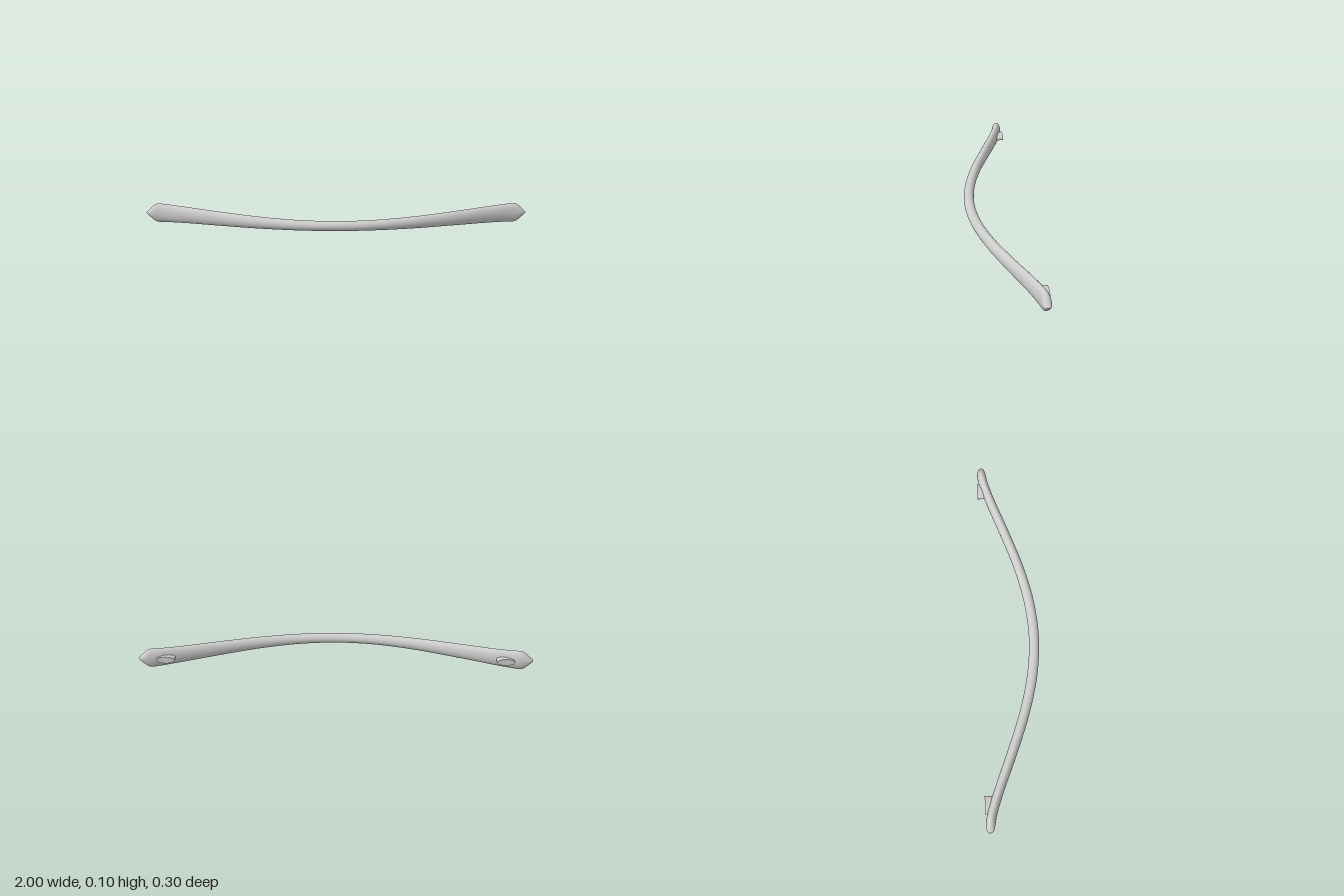
import * as THREE from 'three';

// Half of the bow: x, z of the centre line, half height, half thickness
const HALF = [
  [0, 0.124, 0.025, 0.026],
  [0.2, 0.107, 0.0265, 0.026],
  [0.4, 0.06, 0.031, 0.0255],
  [0.6, -0.008, 0.037, 0.025],
  [0.8, -0.082, 0.044, 0.024],
  [0.9, -0.114, 0.0485, 0.024],
  [0.935, -0.122, 0.05, 0.024],
  [0.952, -0.1245, 0.046, 0.0235],
  [0.975, -0.1265, 0.027, 0.021],
  [0.992, -0.127, 0.011, 0.015],
  [1, -0.127, 0.003, 0.008],
];
const MID_Y = 0.05;
const SIDES = 40;
const STEPS = 200;

// Lofts ellipses along the bowed centre line and closes both tips
function gripGeometry() {
  const mirrored = HALF.slice(1).reverse().map(([x, z, h, w]) => [-x, z, h, w]);
  const stations = [...mirrored, ...HALF];
  const path = new THREE.CatmullRomCurve3(stations.map(([x, z]) => new THREE.Vector3(x, MID_Y, z)));
  const size = new THREE.CatmullRomCurve3(stations.map(([x, , h, w]) => new THREE.Vector3(x, h, w)));
  const positions = [];
  const indices = [];

  for (let i = 0; i <= STEPS; i++) {
    const t = i / STEPS;
    const p = path.getPoint(t);
    const dir = path.getTangent(t);
    const s = size.getPoint(t);
    for (let j = 0; j < SIDES; j++) {
      const a = (j / SIDES) * Math.PI * 2;
      const across = Math.cos(a) * s.z;
      positions.push(p.x - dir.z * across, p.y + Math.sin(a) * s.y, p.z + dir.x * across);
    }
  }
  for (let i = 0; i < STEPS; i++) {
    for (let j = 0; j < SIDES; j++) {
      const k = (j + 1) % SIDES;
      const a = i * SIDES + j, b = i * SIDES + k;
      const c = a + SIDES, d = b + SIDES;
      indices.push(a, c, b, b, c, d);
    }
  }
  // tip caps
  const last = STEPS * SIDES;
  for (let j = 1; j < SIDES - 1; j++) {
    indices.push(0, j, j + 1);
    indices.push(last, last + j + 1, last + j);
  }

  const geometry = new THREE.BufferGeometry();
  geometry.setAttribute('position', new THREE.Float32BufferAttribute(positions, 3));
  geometry.setIndex(indices);
  geometry.computeVertexNormals();
  return geometry;
}

export function createModel() {
  const group = new THREE.Group();
  group.name = 'bowHandle';
  const material = new THREE.MeshStandardMaterial({ color: 0xcccccc });

  const grip = new THREE.Mesh(gripGeometry(), material);
  grip.name = 'grip';
  group.add(grip);

  // Oval mounting feet on the back, one near each end
  const footGeometry = new THREE.CylinderGeometry(1, 1, 0.05, 40);
  footGeometry.rotateX(Math.PI / 2);
  footGeometry.scale(0.046, 0.0175, 1);
  for (const side of [1, -1]) {
    const foot = new THREE.Mesh(footGeometry, material);
    foot.name = side > 0 ? 'leftFoot' : 'rightFoot';
    foot.position.set(side * 0.862, MID_Y, -0.126);
    group.add(foot);
  }
  return group;
}
